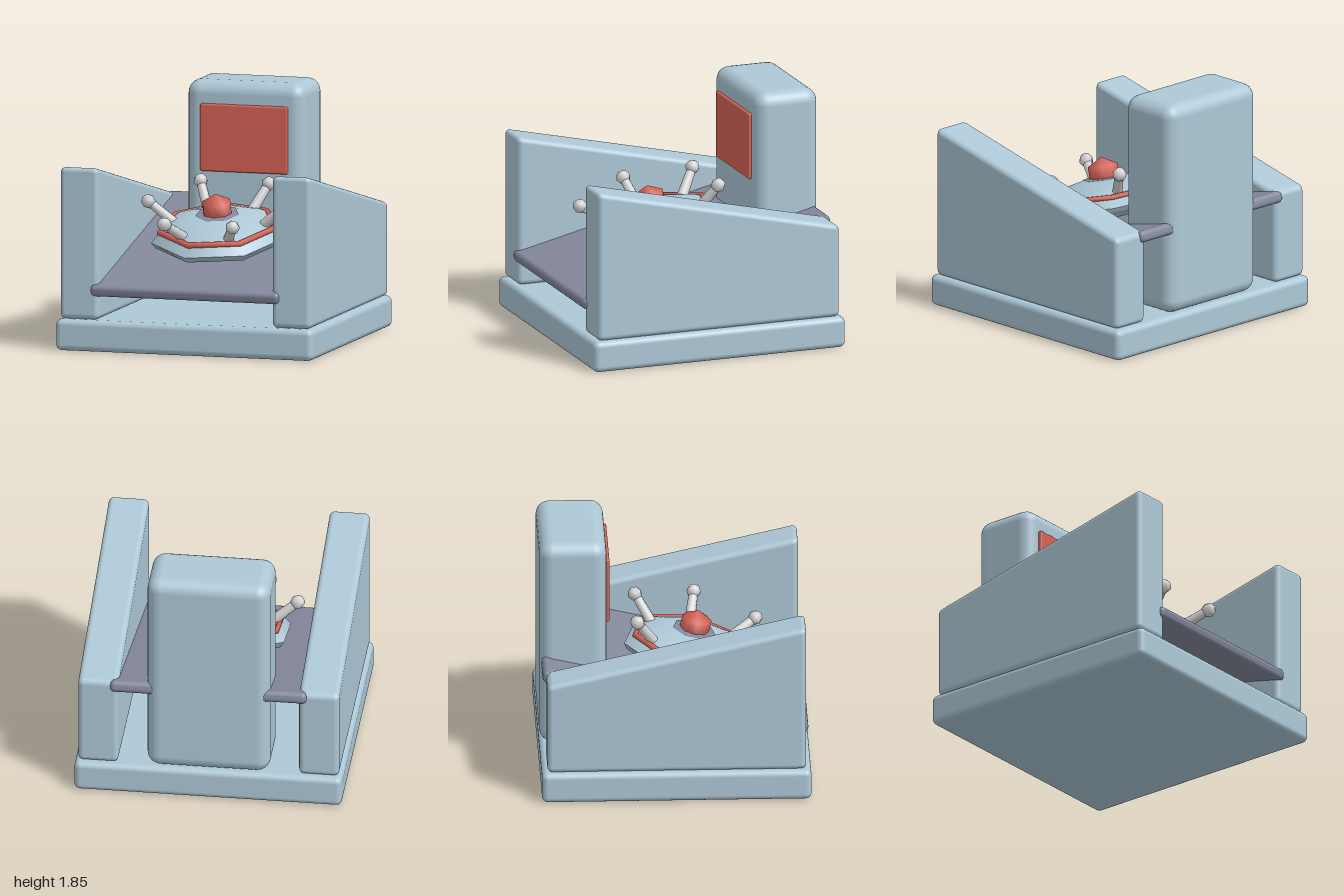
import * as THREE from 'three';
import { RoundedBoxGeometry } from 'three/addons/geometries/RoundedBoxGeometry.js';

const TILT = 0.23;

function material(name, color) {
  const m = new THREE.MeshStandardMaterial({ color });
  m.name = name;
  return m;
}

export function createModel() {
  const model = new THREE.Group();
  model.name = 'consoleMachine';
  const blue = material('paleBlue', 0xadc8d7);
  const slate = material('slate', 0x85899d);
  const red = material('red', 0xd66356);
  const silver = material('silver', 0xd6d6d6);

  const add = (parent, name, geometry, mat, x = 0, y = 0, z = 0) => {
    const mesh = new THREE.Mesh(geometry, mat);
    mesh.name = name;
    mesh.position.set(x, y, z);
    parent.add(mesh);
    return mesh;
  };
  const box = (w, h, d, r, segments = 3) => new RoundedBoxGeometry(w, h, d, segments, r);

  // Base, backboard and its panel
  add(model, 'base', box(2, 0.235, 2, 0.045), blue, 0, 0.1175, 0);
  add(model, 'backboard', box(0.92, 1.615, 0.5, 0.1), blue, 0, 1.0425, -0.75);
  add(model, 'backPanel', box(0.68, 0.505, 0.06, 0.014, 2), red, 0, 1.4275, -0.506);

  // Side walls: rounded boxes whose upper half is sheared into a slope
  const slope = 0.23;
  const wall = box(0.3, 0.92, 1.92, 0.04);
  const p = wall.attributes.position, n = wall.attributes.normal;
  const v = new THREE.Vector3();
  for (let i = 0; i < p.count; i++) {
    if (p.getY(i) <= 0) continue;
    p.setY(i, p.getY(i) + slope * p.getZ(i));
    v.fromBufferAttribute(n, i);
    v.z -= slope * v.y;
    v.normalize();
    n.setXYZ(i, v.x, v.y, v.z);
  }
  for (const side of [-1, 1]) {
    add(model, side > 0 ? 'leftWall' : 'rightWall', wall, blue, side * 0.825, 0.695, 0);
  }

  // Sloping playfield slab
  const slab = add(model, 'slopingDeck', box(1.47, 0.09, 2.02, 0.036, 2), slate, 0, 0.68, 0);
  slab.rotation.x = TILT;

  // Seven-sided saucer, tilted with the deck
  const saucer = new THREE.Group();
  saucer.name = 'saucer';
  saucer.position.set(0, 0.79, 0.125);
  saucer.rotation.x = TILT;
  model.add(saucer);
  const lathe = (name, points, mat) => add(saucer, name,
    new THREE.LatheGeometry(points.map(([r, y]) => new THREE.Vector2(r, y)), 7, Math.PI / 2), mat);
  lathe('saucerUnderside', [[0, -0.11], [0.3, -0.1], [0.48, -0.045], [0.51, 0]], blue);
  lathe('saucerRim', [[0.51, 0], [0.445, 0.068]], blue);
  lathe('saucerDome', [[0.445, 0.068], [0.37, 0.112], [0.27, 0.145], [0.165, 0.168], [0, 0.18]], blue);
  lathe('saucerTrim', [[0.435, 0.05], [0.458, 0.06], [0.462, 0.078], [0.448, 0.094],
    [0.428, 0.094], [0.42, 0.08], [0.435, 0.05]], red);
  lathe('domeCollar', [[0.165, 0.16], [0.165, 0.174], [0, 0.184]], slate);
  add(saucer, 'beacon', new THREE.SphereGeometry(0.128, 8, 3), red, 0, 0.2, 0);

  // Six ball-tipped pins around the dome
  const inner = new THREE.Vector3(0.33, 0.075, 0);
  const tip = new THREE.Vector3(0.53, 0.247, 0);
  const rod = new THREE.CylinderGeometry(0.034, 0.041, inner.distanceTo(tip), 8);
  const ball = new THREE.SphereGeometry(0.055, 7, 4);
  const direction = tip.clone().sub(inner).normalize();
  for (let i = 0; i < 6; i++) {
    const pin = new THREE.Group();
    pin.name = 'pin' + (i + 1);
    pin.rotation.y = i * Math.PI / 3;
    saucer.add(pin);
    const shaft = add(pin, 'pinShaft', rod, silver);
    shaft.position.copy(inner).lerp(tip, 0.5);
    shaft.quaternion.setFromUnitVectors(new THREE.Vector3(0, 1, 0), direction);
    const end = add(pin, 'pinBall', ball, silver, tip.x, tip.y, tip.z);
    end.quaternion.copy(shaft.quaternion);
  }

  return model;
}
